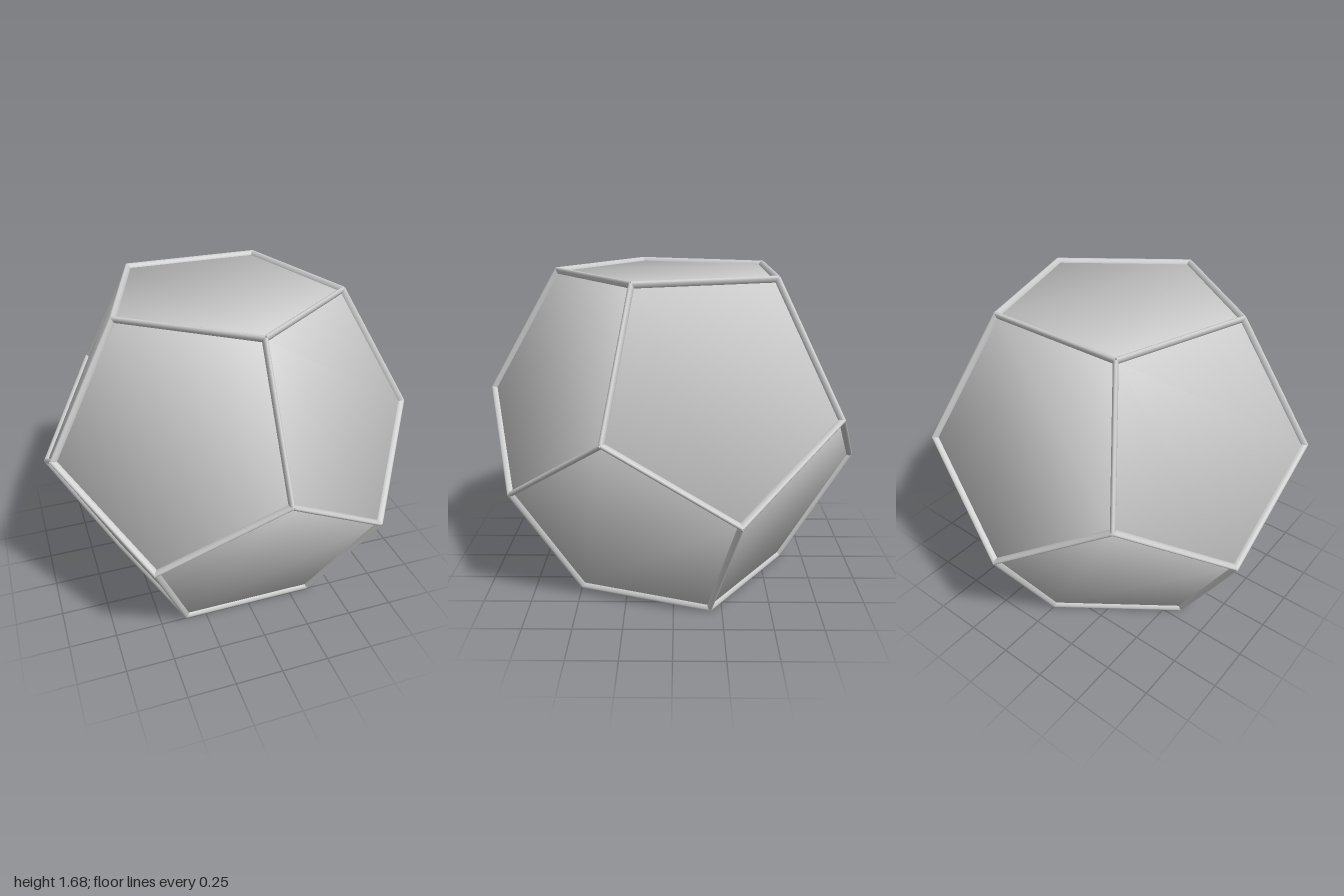
import * as THREE from 'three';

const EDGE = 0.712;      // edge length of the twelve-sided body
const TOP = 0.8205;      // half height between the level faces
const BELT = 0.19;       // height of the zigzag corners off the middle
const MIDDLE = 0.84;     // height of the centre above the ground
const RIB_W = 0.013, RIB_D = 0.022; // rib half width and half depth

// ring of five corners, the first one turned from +z by the given angle
function ring(radius, y, turn) {
  return Array.from({ length: 5 }, (_, k) => {
    const a = turn + (k * Math.PI * 2) / 5;
    return new THREE.Vector3(radius * Math.sin(a), y, radius * Math.cos(a));
  });
}

export function createModel() {
  const model = new THREE.Group();
  model.name = 'ribbedDodecahedron';
  const material = new THREE.MeshStandardMaterial({ color: 0xcccccc });

  const half = Math.PI / 5;
  const top = ring(0.8507 * EDGE, TOP, 0);
  const upper = ring(1.3764 * EDGE, BELT, 0);
  const lower = ring(1.3764 * EDGE, -BELT, half);
  const bottom = ring(0.8507 * EDGE, -TOP, half);

  // five-sided faces and edges
  const faces = [top, [...bottom].reverse()];
  const edges = [];
  for (let k = 0; k < 5; k++) {
    const n = (k + 1) % 5;
    faces.push([top[k], upper[k], lower[k], upper[n], top[n]]);
    faces.push([bottom[k], bottom[n], lower[n], upper[n], lower[k]]);
    edges.push(
      [top[k], top[n]], [top[k], upper[k]], [upper[k], lower[k]],
      [lower[k], upper[n]], [lower[k], bottom[k]], [bottom[k], bottom[n]]
    );
  }

  // panels, softly shaded as one rounded body
  const panels = new THREE.Group();
  panels.name = 'panels';
  for (const face of faces) {
    const geometry = new THREE.BufferGeometry().setFromPoints(face);
    const normals = face.flatMap((p) => p.clone().normalize().toArray());
    geometry.setAttribute('normal', new THREE.Float32BufferAttribute(normals, 3));
    geometry.setIndex([0, 1, 2, 0, 2, 3, 0, 3, 4]);
    const panel = new THREE.Mesh(geometry, material);
    panel.name = 'panel';
    panels.add(panel);
  }

  // slim oval ribs along all thirty edges
  const ribs = new THREE.Group();
  ribs.name = 'ribs';
  for (const [a, b] of edges) {
    const along = b.clone().sub(a);
    const length = along.length();
    along.normalize();
    const mid = a.clone().add(b).multiplyScalar(0.5);
    const side = along.clone().cross(mid).normalize();
    const out = side.clone().cross(along);
    const geometry = new THREE.CylinderGeometry(1, 1, 1, 14);
    geometry.scale(RIB_W, length + 0.008, RIB_D);
    geometry.applyMatrix4(new THREE.Matrix4().makeBasis(side, along, out).setPosition(mid));
    const rib = new THREE.Mesh(geometry, material);
    rib.name = 'rib';
    ribs.add(rib);
  }

  model.add(panels, ribs);
  panels.position.y = ribs.position.y = MIDDLE;
  return model;
}
